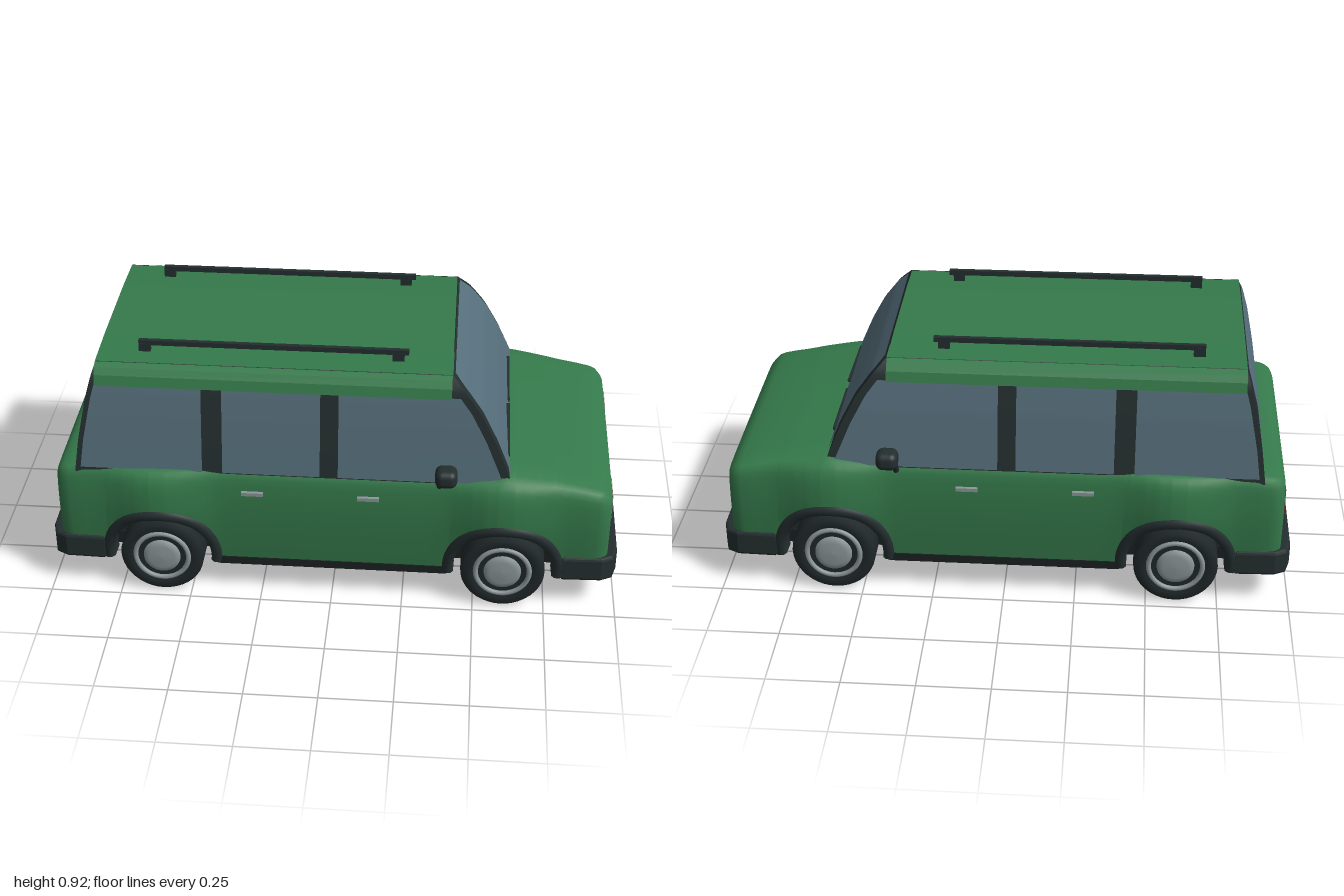
import * as THREE from 'three';
import { RoundedBoxGeometry } from 'three/addons/geometries/RoundedBoxGeometry.js';

const material = (name, color) => {
  const m = new THREE.MeshStandardMaterial({ color });
  m.name = name;
  return m;
};

// Piecewise linear lookup in [[key, value], ...]
function lookup(pts, t) {
  if (t <= pts[0][0]) return pts[0][1];
  for (let i = 1; i < pts.length; i++) {
    const [a, va] = pts[i - 1], [b, vb] = pts[i];
    if (t <= b) return va + (vb - va) * (t - a) / (b - a);
  }
  return pts[pts.length - 1][1];
}

// Surface patch from fn(u, v) -> [x, y, z]; faces along du x dv
function patch(fn, nu, nv, flip = false) {
  const pos = [], idx = [];
  for (let j = 0; j <= nv; j++)
    for (let i = 0; i <= nu; i++) pos.push(...fn(i / nu, j / nv));
  for (let j = 0; j < nv; j++)
    for (let i = 0; i < nu; i++) {
      const a = j * (nu + 1) + i, b = a + 1, c = b + nu + 1, d = c - 1;
      if (flip) idx.push(a, c, b, a, d, c);
      else idx.push(a, b, c, a, c, d);
    }
  const g = new THREE.BufferGeometry();
  g.setAttribute('position', new THREE.Float32BufferAttribute(pos, 3));
  g.setIndex(idx);
  g.computeVertexNormals();
  return g;
}

const lerp = THREE.MathUtils.lerp;
const WHEEL_X = 0.6, WHEEL_Y = 0.147, ARCH = 0.19, END = 0.962;

// Lower body rules: half width, swelling over the wheels, shoulder height, crown
const BASE = [[0.12, 0.437], [0.25, 0.45], [0.35, 0.455], [0.43, 0.453], [0.47, 0.449], [0.492, 0.443], [0.505, 0.432]];
const SWELL = [[0.12, 0], [0.22, 0.5], [0.33, 0.9], [0.42, 0.85], [0.47, 0.7], [0.505, 0.4]];
const SHOULDER = [[-END, 0.455], [-0.95, 0.475], [-0.93, 0.488], [-0.88, 0.498], [-0.5, 0.505], [0.45, 0.505], [0.6, 0.515], [0.75, 0.498], [0.9, 0.472], [0.935, 0.46], [END, 0.435]];
const CROWN = [[-END, 0.004], [-0.88, 0.008], [0.4, 0.01], [0.6, 0.03], [0.9, 0.016], [END, 0.008]];

function halfWidth(x, y) {
  const d = Math.abs(Math.abs(x) - WHEEL_X) / 0.24;
  const bump = d < 1 ? 0.046 * Math.cos(d * Math.PI / 2) ** 2 : 0;
  const e = Math.max(0, (Math.abs(x) - 0.9) / (END - 0.9));
  return lookup(BASE, y) + bump * lookup(SWELL, y) - 0.04 * (1 - Math.sqrt(Math.max(0, 1 - e * e)));
}

// Half section from the lower edge up to the centre line: [y, z]
function bodySection(x) {
  const d = Math.abs(Math.abs(x) - WHEEL_X);
  const low = d < ARCH ? WHEEL_Y + Math.sqrt(ARCH * ARCH - d * d) : 0.12;
  const top = lookup(SHOULDER, x), c = lookup(CROWN, x), pts = [];
  for (const t of [0, 0.2, 0.4, 0.6, 0.75, 0.85, 0.92, 0.97, 1]) {
    const y = lerp(low, top, t);
    pts.push([y, halfWidth(x, y + (0.505 - top) * t)]);
  }
  const w = pts[8][1];
  pts.push([top + c * 0.55, w * 0.95], [top + c * 0.85, w * 0.8], [top + c * 0.95, w * 0.4], [top + c, 0]);
  return pts;
}

// Cabin rules by height: windscreen, rear screen and half width
const FRONT_X = [[0.48, 0.625], [0.54, 0.602], [0.65, 0.555], [0.75, 0.502], [0.82, 0.45], [0.872, 0.402]];
const REAR_X = [[0.48, -0.888], [0.6, -0.872], [0.75, -0.842], [0.83, -0.82], [0.872, -0.806]];
const CABIN_W = [[0.48, 0.443], [0.6, 0.425], [0.7, 0.409], [0.8, 0.39], [0.83, 0.382], [0.872, 0.35]];

export function createModel() {
  const car = new THREE.Group();
  car.name = 'car';
  const paint = material('green paint', 0x357a4b);
  const glass = material('window glass', 0x566f7c);
  const trim = material('dark trim', 0x242e2f);
  const tyreMat = material('tyre rubber', 0x202829);
  const floorMat = material('underbody', 0x1a2021);
  const metal = material('grey metal', 0x8c9698);
  const lampMat = material('headlamp lens', 0xb4aa9e);
  const tailMat = material('tail lamp red', 0x8a2a0e);
  tyreMat.side = THREE.DoubleSide;

  const add = (name, geo, mat, x = 0, y = 0, z = 0) => {
    const m = new THREE.Mesh(geo, mat);
    m.name = name;
    m.position.set(x, y, z);
    car.add(m);
    return m;
  };
  const box = (name, mat, w, h, d, x, y, z) => add(name, new THREE.BoxGeometry(w, h, d), mat, x, y, z);

  // Lower body, lofted along its length with open wheel arches
  const xs = [];
  for (let i = 0; i <= 40; i++) xs.push(-END + 2 * END * i / 40);
  for (const s of [-1, 1]) {
    for (let i = 0; i <= 20; i++) xs.push(s * WHEEL_X + ARCH * Math.cos(Math.PI * i / 20));
    xs.push(s * 0.935, s * 0.95, s * 0.957);
  }
  xs.sort((a, b) => a - b);
  const loops = xs.map(x => {
    const half = bodySection(x).map(([y, z]) => [x, y, z]);
    return half.concat(half.slice(0, -1).reverse().map(([, y, z]) => [x, y, -z]));
  });
  const n = loops.length - 1, k = loops[0].length - 1;
  add('body', patch((u, v) => loops[Math.round(u * n)][Math.round(v * k)], n, k), paint);
  for (const [name, loop, flip] of [['frontPanel', loops[n], false], ['rearPanel', loops[0], true]])
    add(name, patch((u, v) => {
      const j = Math.round(v * k / 2), a = loop[j], b = loop[k - j];
      return [a[0], a[1], lerp(a[2], b[2], u)];
    }, 2, k / 2, flip), paint);

  // Floor, leaving room for the wheels
  box('floor', floorMat, 1.9, 0.05, 0.7, 0, 0.137, 0);
  box('middleFloor', floorMat, 0.81, 0.03, 0.885, 0, 0.126, 0);
  for (const s of [-1, 1]) box('endFloor', floorMat, 0.14, 0.03, 0.86, s * 0.865, 0.129, 0);

  // Cabin frame
  const cy = v => lerp(0.48, 0.872, v);
  for (const s of [1, -1])
    add('cabinSide', patch((u, v) => {
      const y = cy(v);
      return [lerp(lookup(REAR_X, y), lookup(FRONT_X, y), u), y, s * lookup(CABIN_W, y)];
    }, 1, 24, s < 0), trim);
  const screen = (name, mat, edge, dir, y0, y1, inset, off) =>
    add(name, patch((u, v) => {
      const y = lerp(y0, y1, v);
      return [lookup(edge, y) + dir * off, y, dir * (1 - 2 * u) * (lookup(CABIN_W, y) - inset)];
    }, 1, 24), mat);
  screen('frontFrame', trim, FRONT_X, 1, 0.48, 0.872, 0, 0);
  screen('rearFrame', trim, REAR_X, -1, 0.48, 0.872, 0, 0);
  screen('windscreen', glass, FRONT_X, 1, 0.53, 0.87, 0.022, 0.005);
  screen('rearWindow', glass, REAR_X, -1, 0.49, 0.866, 0.022, 0.005);

  // Side windows between the pillars
  const panes = [
    [y => lookup(REAR_X, y) + 0.018, () => -0.445],
    [() => -0.375, () => -0.04],
    [() => 0.022, y => lookup(FRONT_X, y) - 0.03],
  ];
  for (const s of [1, -1])
    for (const [a, b] of panes)
      add('sideWindow', patch((u, v) => {
        const y = lerp(0.5, 0.806, v);
        return [lerp(a(y), b(y), u), y, s * (lookup(CABIN_W, y) + 0.004)];
      }, 1, 20, s < 0), glass);

  // Roof, extruded along the length
  const edge = [[0.398, 0.803], [0.388, 0.838], [0.372, 0.86], [0.35, 0.871], [0.18, 0.878]];
  const outline = [...edge, ...edge.slice().reverse().map(([z, y]) => [-z, y])];
  const roofShape = new THREE.Shape(outline.map(([z, y]) => new THREE.Vector2(z, y)));
  const roof = new THREE.ExtrudeGeometry(roofShape, { depth: 1.208, bevelEnabled: false });
  roof.rotateY(Math.PI / 2);
  add('roof', roof, paint, -0.808);

  // Bumpers, wrapping round each end
  const bumperShape = new THREE.Shape([[0.815, -0.447], [0.94, -0.443], [0.975, -0.425], [0.988, -0.38], [0.99, 0],
    [0.988, 0.38], [0.975, 0.425], [0.94, 0.443], [0.815, 0.447]].map(p => new THREE.Vector2(...p)));
  for (const s of [1, -1]) {
    const g = new THREE.ExtrudeGeometry(bumperShape, { depth: 0.073, bevelThickness: 0.01, bevelSize: 0.01, bevelSegments: 2 });
    g.rotateX(-Math.PI / 2);
    if (s < 0) g.rotateY(Math.PI);
    add(s > 0 ? 'frontBumper' : 'rearBumper', g, trim, 0, 0.127, 0);
  }

  // Lamps and grille
  for (const s of [1, -1]) {
    box('headlampFrame', trim, 0.008, 0.106, 0.126, 0.963, 0.36, s * 0.29);
    box('headlamp', lampMat, 0.008, 0.096, 0.116, 0.966, 0.36, s * 0.29);
    box('tailLampFrame', trim, 0.008, 0.138, 0.122, -0.963, 0.345, s * 0.3);
    box('tailLamp', tailMat, 0.008, 0.128, 0.112, -0.966, 0.345, s * 0.3);
  }
  box('grille', trim, 0.009, 0.1, 0.32, 0.964, 0.325, 0);
  for (const y of [0.302, 0.324, 0.346]) box('grilleBar', metal, 0.006, 0.008, 0.294, 0.968, y, 0);

  // Wipers
  box('wiper', trim, 0.012, 0.009, 0.305, 0.6, 0.56, 0.183).rotation.x = 0.055;
  box('wiper', trim, 0.012, 0.009, 0.3, 0.6, 0.56, -0.16).rotation.x = 0.02;

  // Wheel profiles, spun about the axle: [radius, distance outwards]
  const lathe = pts => new THREE.LatheGeometry(pts.map(p => new THREE.Vector2(...p)), 40);
  const tyre = lathe([[0, 0], [0.135, 0], [0.147, 0.012], [0.147, 0.095], [0.137, 0.109], [0.108, 0.11], [0.103, 0.1], [0, 0.1]]);
  const rim = new THREE.TorusGeometry(0.094, 0.009, 8, 40);
  const hub = lathe([[0.066, 0.098], [0.064, 0.108], [0.045, 0.113], [0, 0.115]]);
  // Arch flare cross-section: [radius, distance from the body side]
  const flare = [[0.172, -0.06], [0.174, 0.002], [0.184, 0.012], [0.202, 0.011], [0.211, 0.003], [0.213, -0.012]];

  for (const s of [1, -1])
    for (const x of [-WHEEL_X, WHEEL_X]) {
      for (const [name, geo, mat] of [['tyre', tyre, tyreMat], ['hubCap', hub, metal]])
        add(name, geo, mat, x, WHEEL_Y, s * 0.36).rotation.x = s * Math.PI / 2;
      add('rimRing', rim, metal, x, WHEEL_Y, s * 0.462);
      const at = (a, r, depth) => {
        const px = x + r * Math.cos(a), py = WHEEL_Y + r * Math.sin(a);
        return [px, py, s * (halfWidth(px, py) + depth)];
      };
      const angle = u => lerp(-0.15, Math.PI + 0.15, u);
      add('archFlare', patch((u, v) => at(angle(u), ...flare[Math.round(v * 5)]), 32, 5, s > 0), trim).material = flareMat(trim);
      add('wheelWell', patch((u, v) => {
        const a = angle(u);
        return [x + 0.188 * Math.cos(a), WHEEL_Y + 0.188 * Math.sin(a), s * lerp(0.34, 0.445, v)];
      }, 24, 1), tyreMat);
      add('wellWall', new THREE.CircleGeometry(0.19, 24, 0, Math.PI), tyreMat, x, WHEEL_Y, s * 0.342);
    }

  // Door handles, mirrors and roof rails
  for (const s of [1, -1]) {
    for (const x of [-0.273, 0.127]) box('doorHandle', metal, 0.075, 0.013, 0.016, x, 0.427, s * 0.456);
    add('mirror', new RoundedBoxGeometry(0.075, 0.064, 0.076, 3, 0.024), trim, 0.392, 0.557, s * 0.491);
    const stalk = add('mirrorStalk', new THREE.CylinderGeometry(0.009, 0.011, 0.075, 8), trim, 0.37, 0.517, s * 0.458);
    stalk.rotation.x = s * 0.45;
    box('roofRail', trim, 0.92, 0.018, 0.016, -0.21, 0.907, s * 0.27);
    for (const x of [-0.65, 0.215]) box('railFoot', trim, 0.04, 0.04, 0.018, x, 0.885, s * 0.27);
  }
  return car;
}

// The flares are thin open strips, so they show both faces
function flareMat(m) {
  m.side = THREE.DoubleSide;
  return m;
}
